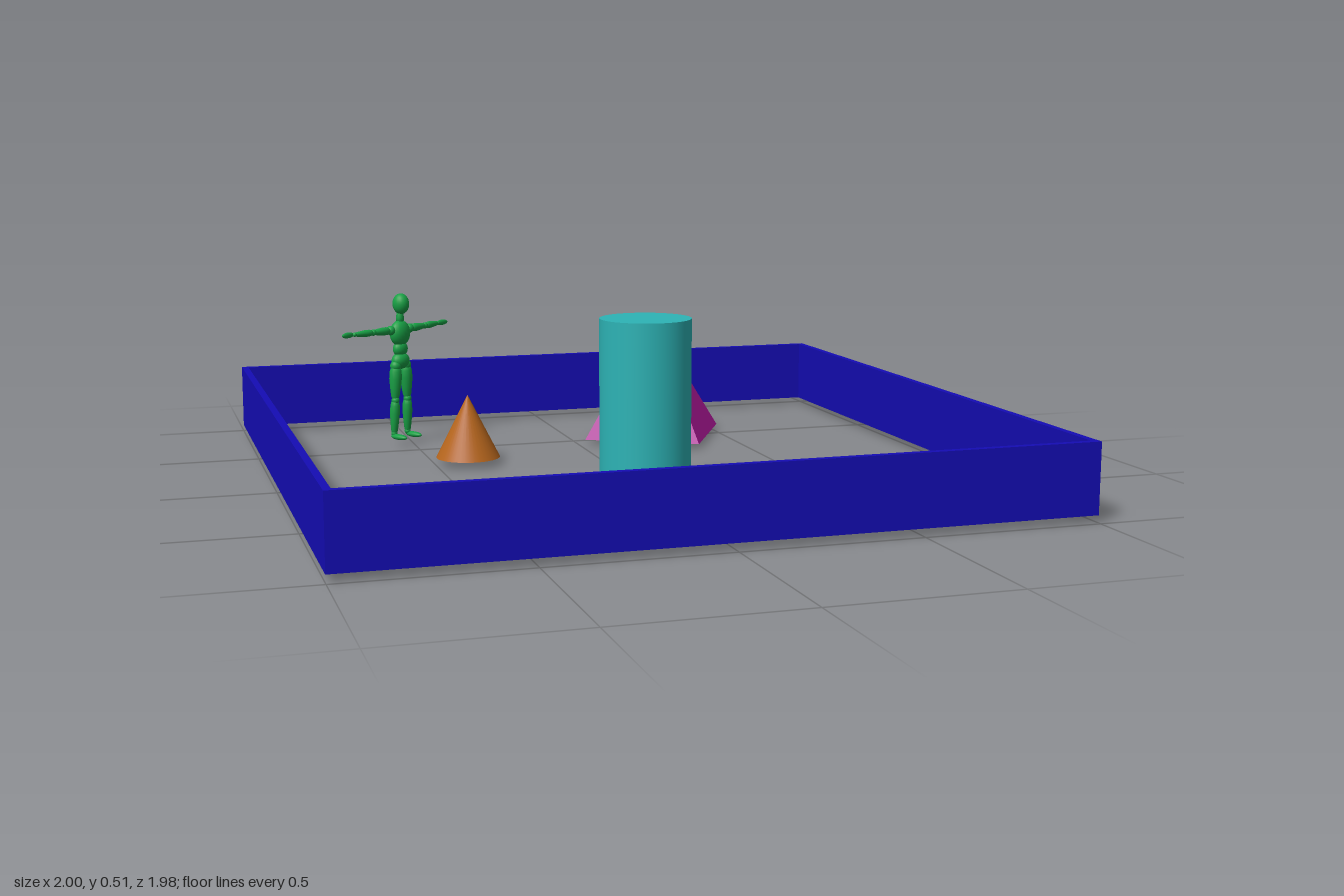
import * as THREE from 'three';

const mat = (color) => new THREE.MeshStandardMaterial({ color });

function add(parent, name, geometry, material, x = 0, y = 0, z = 0) {
  const mesh = new THREE.Mesh(geometry, material);
  mesh.name = name;
  mesh.position.set(x, y, z);
  parent.add(mesh);
  return mesh;
}

// Jointed figure, arms held out, facing +z with its feet at y = 0
function createFigure() {
  const figure = new THREE.Group();
  figure.name = 'figure';
  const green = mat(0x18a045);
  const up = new THREE.Vector3(0, 1, 0);

  const ball = (name, x, y, z, rx, ry = rx, rz = rx) =>
    add(figure, name, new THREE.SphereGeometry(1, 20, 14), green, x, y, z).scale.set(rx, ry, rz);

  // Muscle-shaped segment from a to b, thickest towards a
  const limb = (name, a, b, r) => {
    const start = new THREE.Vector3(...a);
    const dir = new THREE.Vector3(...b).sub(start);
    const len = dir.length();
    const profile = [[0, 0], [0.7, 0.04], [0.95, 0.2], [1, 0.4], [0.85, 0.65], [0.65, 0.9], [0.4, 0.98], [0, 1]]
      .map(([pr, t]) => new THREE.Vector2(pr * r, t * len));
    const mesh = add(figure, name, new THREE.LatheGeometry(profile, 16), green, ...a);
    mesh.quaternion.setFromUnitVectors(up, dir.normalize());
  };

  // Head, neck and trunk
  ball('head', 0, 0.432, 0.006, 0.025, 0.033, 0.028);
  limb('neck', [0, 0.37, 0], [0, 0.415, 0.002], 0.013);
  ball('chest', 0, 0.338, 0, 0.038, 0.042, 0.026);
  ball('waist', 0, 0.288, 0, 0.027, 0.025, 0.02);
  ball('hips', 0, 0.25, 0, 0.033, 0.027, 0.024);

  for (const s of [1, -1]) {
    const side = s > 0 ? 'left' : 'right';
    // Arm
    ball(side + 'Shoulder', s * 0.042, 0.35, 0, 0.015);
    limb(side + 'UpperArm', [s * 0.045, 0.35, 0], [s * 0.116, 0.351, -0.002], 0.013);
    ball(side + 'Elbow', s * 0.116, 0.351, -0.002, 0.01);
    limb(side + 'Forearm', [s * 0.116, 0.351, -0.002], [s * 0.186, 0.351, -0.012], 0.011);
    ball(side + 'Wrist', s * 0.186, 0.351, -0.012, 0.007);
    ball(side + 'Hand', s * 0.211, 0.351, -0.016, 0.025, 0.009, 0.006);
    // Leg and foot
    ball(side + 'HipJoint', s * 0.022, 0.235, 0, 0.018);
    limb(side + 'Thigh', [s * 0.022, 0.24, 0], [s * 0.027, 0.125, 0], 0.02);
    ball(side + 'Knee', s * 0.027, 0.125, 0.001, 0.013);
    limb(side + 'Shin', [s * 0.027, 0.13, 0], [s * 0.03, 0.015, -0.004], 0.016);
    ball(side + 'Ankle', s * 0.03, 0.018, -0.004, 0.01);
    ball(side + 'Foot', s * 0.033, 0.009, 0.02, 0.012, 0.009, 0.034);
  }
  return figure;
}

export function createModel() {
  const model = new THREE.Group();
  model.name = 'arena';

  // Four walls around an open floor
  const walls = new THREE.Group();
  walls.name = 'walls';
  model.add(walls);
  const blue = mat(0x140cb4);
  for (const s of [1, -1]) {
    add(walls, s > 0 ? 'frontWall' : 'backWall', new THREE.BoxGeometry(2, 0.195, 0.02), blue, 0, 0.118, s * 0.98);
    add(walls, s > 0 ? 'leftWall' : 'rightWall', new THREE.BoxGeometry(0.02, 0.195, 1.94), blue, s * 0.99, 0.118, 0);
  }

  // Tall cylinder
  add(model, 'tallCylinder', new THREE.CylinderGeometry(0.124, 0.124, 0.5, 48), mat(0x2db3b5), -0.06, 0.26, 0.44);

  // Square pyramid
  const pyramid = add(model, 'pyramid',
    new THREE.ConeGeometry(0.26, 0.37, 4, 1).toNonIndexed(), mat(0xb0189a), 0.27, 0.2, -0.505);
  pyramid.geometry.computeVertexNormals();
  pyramid.rotation.y = 0.284;

  // Cone
  add(model, 'cone', new THREE.ConeGeometry(0.096, 0.19, 40), mat(0xb5651d), -0.4, 0.115, -0.25);

  // Short drum with gently domed ends
  const dome = (y, rise) => [1, 0.85, 0.6, 0.3, 0].map((t) =>
    new THREE.Vector2(0.071 * t, y + rise * (1 - t * t)));
  const drum = new THREE.Group();
  drum.name = 'shortDrum';
  drum.position.set(0.505, 0, 0.71);
  model.add(drum);
  const lime = mat(0xb8e01c);
  add(drum, 'drumSide', new THREE.CylinderGeometry(0.071, 0.071, 0.09, 40, 1, true), lime, 0, 0.065, 0);
  add(drum, 'drumTop', new THREE.LatheGeometry(dome(0.11, 0.02), 40), lime);
  add(drum, 'drumBottom', new THREE.LatheGeometry(dome(0.02, -0.02).reverse(), 40), lime);

  // Figure in the back corner, turned towards the middle
  const figure = createFigure();
  figure.position.set(-0.535, 0.018, -0.625);
  figure.rotation.y = 0.617;
  model.add(figure);

  return model;
}
